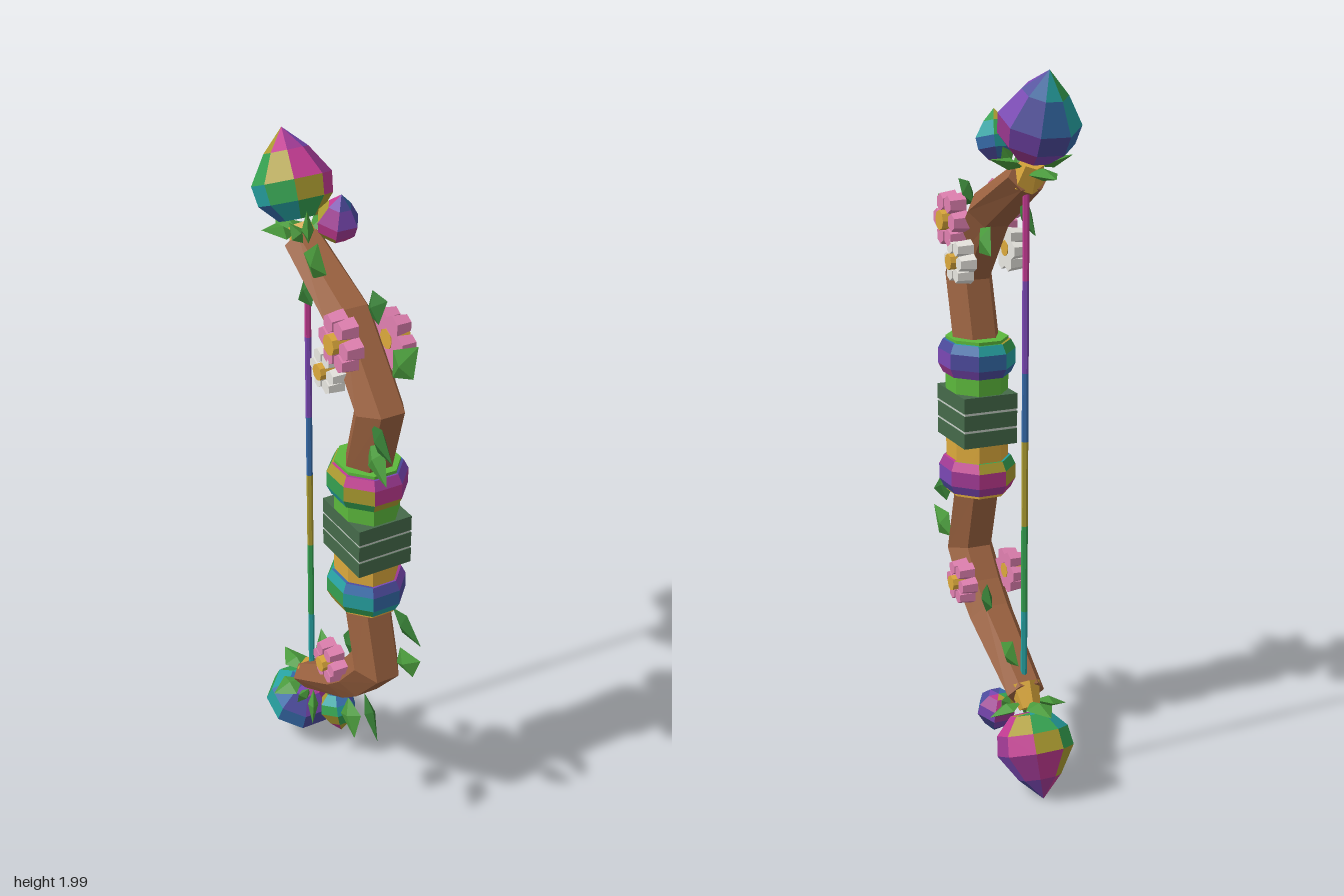
import * as THREE from 'three';

const mat = (color, extra = {}) => new THREE.MeshStandardMaterial({ color, flatShading: true, ...extra });
const WOOD = mat(0x9b6240), LEAF = mat(0x4a9a3c), LEAF_DARK = mat(0x357a34), GOLD = mat(0xdca93c);
const PINK = mat(0xe080b0), WHITE = mat(0xe8e6e0), WRAP = mat(0x456a4a), LIME = mat(0x5cb83c), PALE = mat(0xc4ccc4);
const HUES = [0xc03a90, 0xa03a94, 0x7a48b4, 0x4c4a9c, 0x356aa8, 0x26a0a0, 0x35a050, 0xaa9a30].map((c) => mat(c));

function add(parent, name, geo, material, x = 0, y = 0, z = 0) {
  const m = new THREE.Mesh(geo, material);
  m.name = name;
  m.position.set(x, y, z);
  parent.add(m);
  return m;
}

// Lathe whose facets run through the hues around its axis, shifting by one per band
function rainbowLathe(name, profile, sides, shift = 0) {
  const group = new THREE.Group();
  group.name = name;
  const step = (Math.PI * 2) / sides;
  for (let band = 0; band < profile.length - 1; band++) {
    const pts = [profile[band], profile[band + 1]].map(([r, y]) => new THREE.Vector2(r, y));
    for (let s = 0; s < sides; s++) {
      const hue = Math.round((s * 8) / sides) + band + shift;
      add(group, name + 'Facet', new THREE.LatheGeometry(pts, 1, (s - 0.5) * step, step), HUES[(hue + 16) % 8]);
    }
  }
  return group;
}

// Hexagonal limb swept along [z, y, halfWidth, halfThickness] with mitred joints
function limbGeometry(path) {
  const pos = [], index = [];
  const dir = (a, b) => new THREE.Vector2(b[0] - a[0], b[1] - a[1]).normalize();
  path.forEach((p, i) => {
    const d0 = dir(path[Math.max(i - 1, 0)], path[Math.max(i, 1)]);
    const d1 = i < path.length - 1 ? dir(p, path[i + 1]) : d0;
    const t = d0.clone().add(d1).normalize();
    const h = p[3] / t.dot(d0);
    for (let k = 0; k < 6; k++) {
      const a = (k * Math.PI) / 3, o = (Math.sin(a) / 0.866) * h;
      pos.push(Math.cos(a) * p[2], p[1] - t.x * o, p[0] + t.y * o);
    }
  });
  for (let i = 0; i < path.length - 1; i++)
    for (let k = 0; k < 6; k++) {
      const a = i * 6 + k, b = i * 6 + ((k + 1) % 6);
      index.push(a, a + 6, b, b, a + 6, b + 6);
    }
  const e = (path.length - 1) * 6;
  for (let k = 1; k < 5; k++) index.push(0, k, k + 1, e, e + k + 1, e + k);
  const g = new THREE.BufferGeometry();
  g.setAttribute('position', new THREE.Float32BufferAttribute(pos, 3));
  g.setIndex(index);
  g.computeVertexNormals();
  return g;
}

// Kite-shaped leaf from base to tip, its broad face towards `normal`
function addLeaf(parent, base, tip, normal, width, material = LEAF) {
  const a = new THREE.Vector3(...base), b = new THREE.Vector3(...tip);
  const d = b.clone().sub(a), len = d.length();
  d.normalize();
  const side = d.clone().cross(new THREE.Vector3(...normal)).normalize();
  const n = side.clone().cross(d);
  const m = add(parent, 'leaf', new THREE.OctahedronGeometry(1, 0), material);
  m.geometry.scale(width, len / 2, 0.016).translate(0, len / 2, 0);
  const p = m.geometry.attributes.position;
  for (let i = 0; i < p.count; i++)
    if (Math.abs(p.getY(i) - len / 2) < 0.001) p.setY(i, len * 0.42);
  m.geometry.computeVertexNormals();
  m.quaternion.setFromRotationMatrix(new THREE.Matrix4().makeBasis(side, d, n));
  m.position.copy(a);
}

// Six-petalled flower on the side of a limb
function addFlower(parent, sx, y, z, r, material) {
  const flower = new THREE.Group();
  flower.name = 'flower';
  for (let k = 0; k < 6; k++) {
    const a = (k * Math.PI) / 3 + Math.PI / 6;
    const petal = add(flower, 'petal', new THREE.CylinderGeometry(r * 0.3, r * 0.38, 0.045, 6), material,
      Math.cos(a) * r * 0.64, 0, Math.sin(a) * r * 0.64);
    petal.rotation.y = -a;
  }
  add(flower, 'flowerCentre', new THREE.CylinderGeometry(r * 0.34, r * 0.34, 0.06, 8), GOLD, 0, 0.006, 0);
  flower.rotation.z = -sx * Math.PI / 2;
  flower.position.set(sx * 0.078, y, z);
  parent.add(flower);
}

export function createModel() {
  const bow = new THREE.Group();
  bow.name = 'bow';

  // Wooden limbs in one sweep from bottom to top
  add(bow, 'limbs', limbGeometry([
    [-0.19, 0.28, 0.056, 0.038], [0.045, 0.425, 0.068, 0.052], [0.115, 0.485, 0.07, 0.056], [0.205, 0.59, 0.07, 0.06],
    [0.145, 0.8, 0.07, 0.058], [0.145, 1.2, 0.07, 0.058],
    [0.205, 1.41, 0.07, 0.06], [0.045, 1.605, 0.07, 0.052], [-0.19, 1.725, 0.058, 0.038],
  ]), WOOD);

  // Wrapped grip
  for (let i = -1; i <= 1; i++)
    add(bow, 'gripWrap', new THREE.BoxGeometry(0.162, 0.044, 0.196), WRAP, 0, 1.008 + i * 0.051, 0.147);
  add(bow, 'gripCore', new THREE.BoxGeometry(0.158, 0.14, 0.192), PALE, 0, 1.008, 0.147);

  // Collars and faceted rings on both sides of the grip
  const ringProfile = [[0.08, -0.05], [0.095, -0.048], [0.108, -0.022], [0.108, 0.022], [0.095, 0.048], [0.08, 0.05]];
  for (const [y, collarY, material, turn] of [[1.178, 1.158, LIME, 0], [0.836, 0.857, GOLD, Math.PI]]) {
    const collar = add(bow, 'collar', new THREE.CylinderGeometry(0.087, 0.087, 0.155, 8), material, 0, collarY, 0.147);
    collar.geometry.rotateY(Math.PI / 8);
    collar.scale.z = 1.14;
    const ring = rainbowLathe('ring', ringProfile, 8, -2);
    ring.position.set(0, y, 0.147);
    ring.rotation.x = turn;
    ring.scale.z = 1.1;
    bow.add(ring);
  }

  // Tip gems, bud gems, gold caps and tip leaves, top and bottom
  const gemProfile = [[0, 0.01], [0.055, 0.012], [0.1, 0.06], [0.108, 0.115], [0.06, 0.19], [0, 0.25]];
  for (const up of [1, -1]) {
    const Y = (y) => (up > 0 ? y : 2.008 - y);
    const gem = rainbowLathe('tipGem', gemProfile, 8, -3);
    gem.position.set(0, Y(1.77), -0.21);
    gem.rotation.x = up > 0 ? -0.4 : 0.4 - Math.PI;
    const bud = rainbowLathe('budGem', gemProfile, 6, -1);
    bud.position.set(0.045, Y(1.755), -0.105);
    bud.rotation.x = up > 0 ? 0.25 : Math.PI - 0.25;
    bud.scale.setScalar(0.55);
    bow.add(gem, bud);

    const cap = add(bow, 'tipCap', new THREE.CylinderGeometry(0.03, 0.045, 0.07, 6), GOLD, 0, Y(1.735), -0.195);
    cap.rotation.x = up > 0 ? -0.6 : 0.6 - Math.PI;

    addLeaf(bow, [0, Y(1.742), -0.22], [0, Y(1.735), -0.352], [0, 1, 0], 0.04);
    for (const s of [-1, 1]) {
      addLeaf(bow, [s * 0.02, Y(1.75), -0.2], [s * 0.118, Y(1.775), -0.205], [0, 1, 0.2], 0.04);
      addLeaf(bow, [s * 0.03, Y(1.745), -0.14], [s * 0.06, Y(1.8), -0.16], [0.4, 0.3, 1], 0.025);
    }
    addLeaf(bow, [-0.02, Y(1.745), -0.13], [-0.04, Y(1.85), -0.1], [1, 0, 0.5], 0.035);
  }

  // Bowstring in coloured lengths
  const stops = [0.3, 0.52, 0.77, 1.01, 1.2, 1.45, 1.71];
  [5, 6, 7, 4, 2, 0].forEach((hue, i) => {
    const h = stops[i + 1] - stops[i];
    add(bow, 'string', new THREE.CylinderGeometry(0.009, 0.009, h, 6), HUES[hue], 0, stops[i] + h / 2, -0.175);
  });

  // Flowers on both sides
  for (const s of [1, -1]) {
    const dy = s > 0 ? 0 : 0.025;
    addFlower(bow, s, 1.57 + dy, 0.14, 0.082, PINK);
    addFlower(bow, s, 1.465 + dy, 0.08, 0.066, WHITE);
    addFlower(bow, s, 0.53 + dy / 2, 0.08, 0.066, PINK);
  }

  // Leaves along the limbs: x, base y and z, tip y and z
  const leaves = [
    [0.04, 1.49, 0.2, 1.62, 0.3], [-0.04, 1.39, 0.23, 1.34, 0.355], [-0.035, 1.34, 0.215, 1.25, 0.32],
    [0.04, 1.62, 0.07, 1.68, 0.15], [0.04, 1.56, 0.03, 1.5, -0.07], [-0.02, 1.65, -0.09, 1.565, -0.18],
    [-0.045, 1.68, -0.06, 1.8, -0.01], [0.04, 0.78, 0.225, 0.725, 0.355], [0.04, 0.605, 0.25, 0.675, 0.355],
    [-0.04, 0.5, 0.21, 0.395, 0.305], [-0.035, 0.41, 0.11, 0.3, 0.165], [0.035, 0.51, 0.03, 0.495, -0.06],
    [0.03, 0.35, -0.13, 0.44, -0.185],
  ];
  leaves.forEach(([x, y0, z0, y1, z1], i) =>
    addLeaf(bow, [x, y0, z0], [x * 1.3, y1, z1], [1, 0, i % 2 ? 0.25 : -0.25], 0.046, i % 2 ? LEAF_DARK : LEAF));

  return bow;
}
